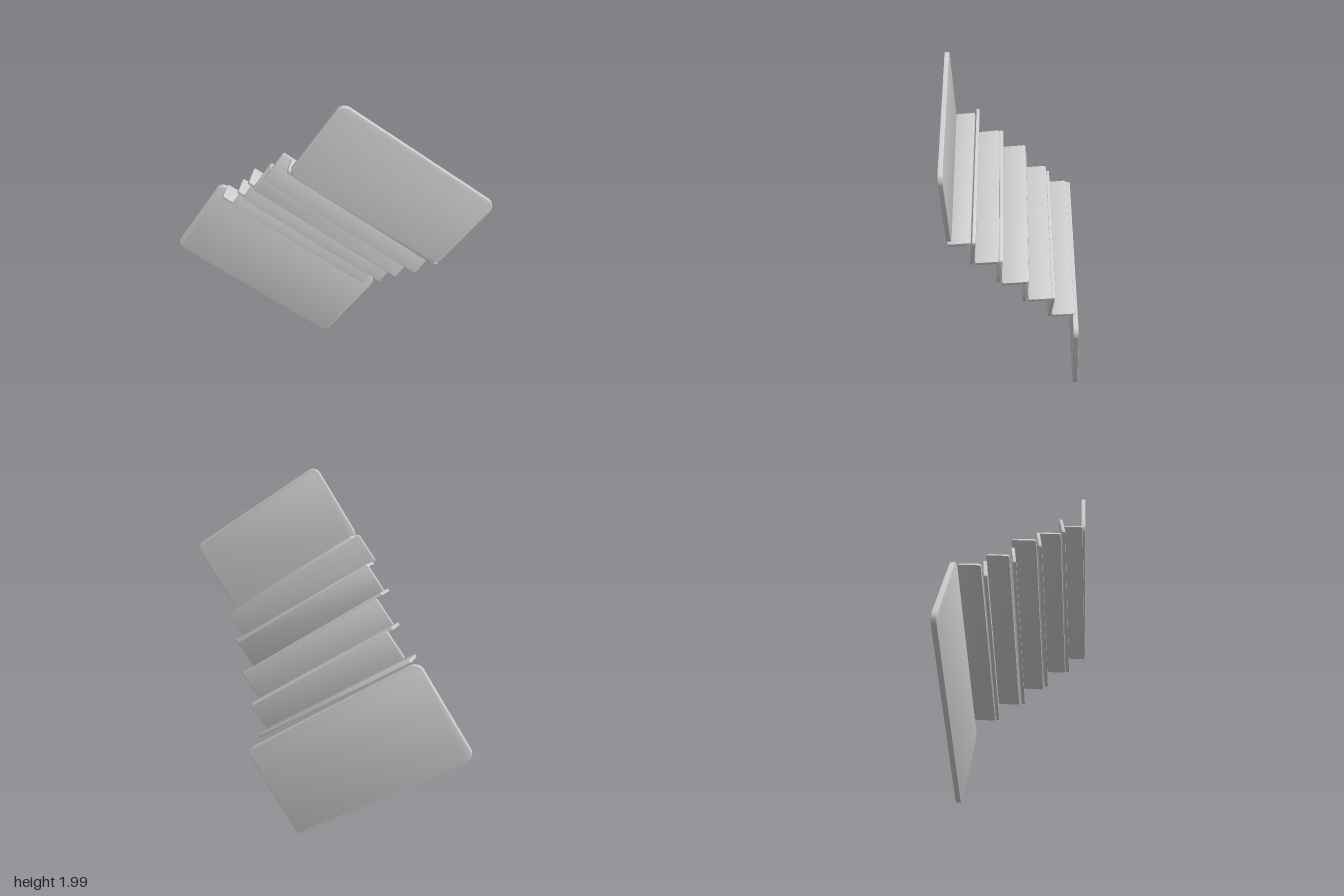
import * as THREE from 'three';
import { toCreasedNormals } from 'three/addons/utils/BufferGeometryUtils.js';

const material = new THREE.MeshStandardMaterial({ color: 0xcccccc });

// Slab with rounded corners and a fine bevel, centred on the origin, thin along z
function slabGeometry(w, h, t, r, bevel = 0.005) {
  const x = w / 2 - bevel, y = h / 2 - bevel;
  const s = new THREE.Shape();
  s.absarc(x - r, y - r, r, 0, Math.PI / 2);
  s.absarc(-x + r, y - r, r, Math.PI / 2, Math.PI);
  s.absarc(-x + r, -y + r, r, Math.PI, Math.PI * 1.5);
  s.absarc(x - r, -y + r, r, Math.PI * 1.5, Math.PI * 2);
  const g = new THREE.ExtrudeGeometry(s, {
    depth: t - 2 * bevel, bevelEnabled: true, bevelSize: bevel,
    bevelThickness: bevel, bevelSegments: 2, curveSegments: 6,
  });
  g.translate(0, 0, -t / 2 + bevel);
  return toCreasedNormals(g, 0.6);
}

export function createModel() {
  const model = new THREE.Group();
  // The whole flight is rolled sideways
  const flight = new THREE.Group();
  flight.name = 'stairFlight';
  flight.rotation.z = -Math.atan2(0.555, 0.832);
  model.add(flight);

  function add(name, geometry, pos, rot) {
    const m = new THREE.Mesh(geometry, material);
    m.name = name;
    m.position.set(...pos);
    m.rotation.set(...rot);
    flight.add(m);
  }

  // Landings at both ends
  add('lowerLanding', slabGeometry(1.18, 0.593, 0.03, 0.05), [-0.55, 0.302, -0.347], [0.053, -0.008, 0]);
  add('upperLanding', slabGeometry(0.94, 0.483, 0.025, 0.045), [-0.515, 1.527, 0.356], [0.03, 0.012, 0]);

  // Treads: left end, right end, height, back, front, roll
  const treads = [
    [-1.10, -0.065, 0.617, -0.322, -0.195, 0.015],
    [-1.065, -0.06, 0.783, -0.188, -0.058, 0],
    [-1.07, -0.05, 0.955, -0.058, 0.084, -0.006],
    [-1.03, -0.05, 1.125, 0.096, 0.222, 0.01],
    [-0.99, -0.04, 1.296, 0.235, 0.352, 0],
  ];
  treads.forEach(([a, b, y, back, front, roll], i) => {
    const g = slabGeometry(b - a, front - back, 0.02, 0.008);
    g.rotateX(-Math.PI / 2);
    add(`tread${i + 1}`, g, [(a + b) / 2, y, (back + front) / 2], [0.11, 0, roll]);
  });

  // Risers: left end, right end, bottom, top, depth
  const risers = [
    [-1.03, -0.065, 0.61, 0.795, -0.188],
    [-1.025, -0.053, 0.775, 0.962, -0.043],
    [-1.035, -0.06, 0.945, 1.135, 0.095],
    [-1.04, -0.05, 1.115, 1.3, 0.229],
  ];
  risers.forEach(([a, b, low, high, z], i) => {
    add(`riser${i + 1}`, slabGeometry(b - a, high - low, 0.02, 0.008),
      [(a + b) / 2, (low + high) / 2, z], [-0.09, 0, 0]);
  });

  return model;
}
